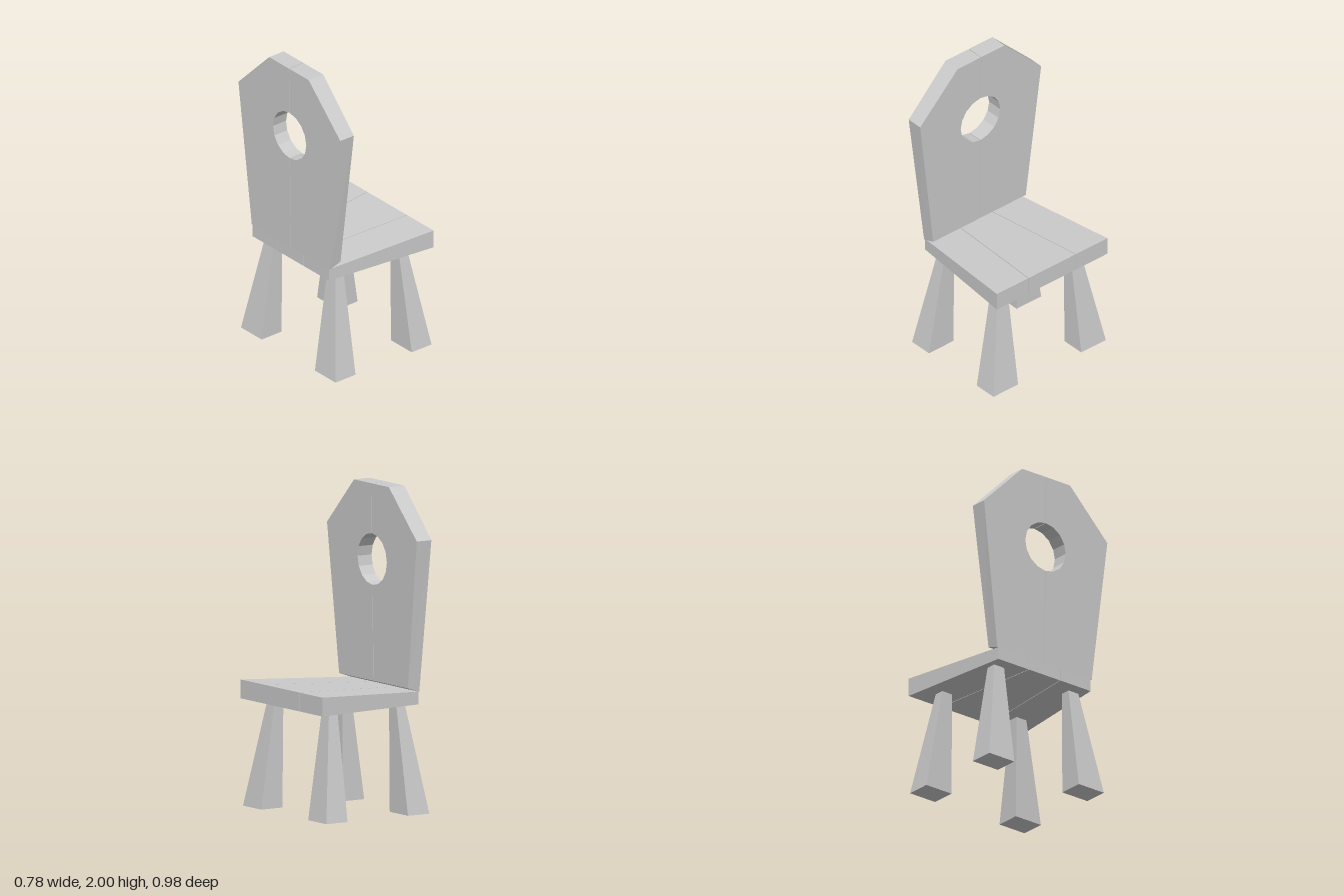
import * as THREE from 'three';

const material = new THREE.MeshStandardMaterial({ color: 0xcccccc, flatShading: true });
const lerp = THREE.MathUtils.lerp;

// Moves every vertex of a geometry by a rule and returns a flat-shaded mesh
function shaped(name, geometry, rule) {
  const geo = geometry.index ? geometry.toNonIndexed() : geometry;
  const pos = geo.attributes.position;
  for (let i = 0; i < pos.count; i++) {
    pos.setXYZ(i, ...rule(pos.getX(i), pos.getY(i), pos.getZ(i)));
  }
  geo.computeVertexNormals();
  const mesh = new THREE.Mesh(geo, material);
  mesh.name = name;
  return mesh;
}

// Seat plank: z edges given at the rear and at the front, top rising to the front
function seatPlank(rear, front) {
  return shaped('seatPlank', new THREE.BoxGeometry(2, 2, 2), (x, y, z) => {
    const edge = x < 0 ? rear : front;
    const top = x < 0 ? 0.747 : 0.785;
    return [x < 0 ? -0.375 : 0.39, y < 0 ? 0.668 : top, z < 0 ? edge[0] : edge[1]];
  });
}

// Half of the backrest, with half of the round opening cut from its inner edge
function backPlank(side) {
  const gap = 0.002, holeY = 1.53, radius = 0.16, steps = 8;
  const points = [[gap, 2], [0.19, 2], [0.49, 1.7], [0.375, 0.747], [gap, 0.747]];
  for (let i = 0; i <= steps; i++) {
    const a = -Math.PI / 2 + (Math.PI * i) / steps;
    points.push([Math.max(gap, Math.cos(a) * radius), holeY + Math.sin(a) * radius]);
  }
  const shape = new THREE.Shape(points.map(([z, y]) => new THREE.Vector2(z * side, y)));
  const geo = new THREE.ExtrudeGeometry(shape, { depth: 1, bevelEnabled: false });
  // Turn the outline to the side, taper the thickness and slant the lower end
  return shaped('backPlank', geo, (z, y, d) => {
    const t = (y - 0.747) / 1.253;
    const x = lerp(lerp(-0.29, -0.275, t), lerp(-0.375, -0.39, t), d);
    return [x, y < 0.8 ? lerp(0.775, 0.747, d) : y, z];
  });
}

// Splayed leg: inner faces nearly upright, outer faces flaring to the floor
function leg(name, sx, sz) {
  const inX = sx > 0 ? [0.21, 0.203] : [0.237, 0.232];
  const outX = sx > 0 ? [0.367, 0.266] : [0.395, 0.296];
  const inZ = 0.256, outZ = [0.455, 0.334];
  return shaped(name, new THREE.BoxGeometry(2, 2, 2), (x, y, z) => {
    const k = y < 0 ? 0 : 1;
    return [
      sx * (x * sx > 0 ? outX[k] : inX[k]),
      k * 0.67,
      sz * (z * sz > 0 ? outZ[k] : inZ),
    ];
  });
}

export function createModel() {
  const chair = new THREE.Group();
  chair.name = 'chair';

  // Three tapering seat planks with narrow gaps
  const seat = new THREE.Group();
  seat.name = 'seat';
  const g = 0.002;
  seat.add(
    seatPlank([-0.367, -0.124 - g], [-0.447, -0.192 - g]),
    seatPlank([-0.124 + g, 0.124 - g], [-0.192 + g, 0.192 - g]),
    seatPlank([0.124 + g, 0.367], [0.192 + g, 0.447]),
  );

  // Two mirrored backrest halves
  const backrest = new THREE.Group();
  backrest.name = 'backrest';
  backrest.add(backPlank(1), backPlank(-1));

  // Four legs
  const legs = new THREE.Group();
  legs.name = 'legs';
  for (const side of [-1, 1]) {
    legs.add(leg('frontLeg', 1, side), leg('rearLeg', -1, side));
  }

  chair.add(seat, backrest, legs);
  return chair;
}
